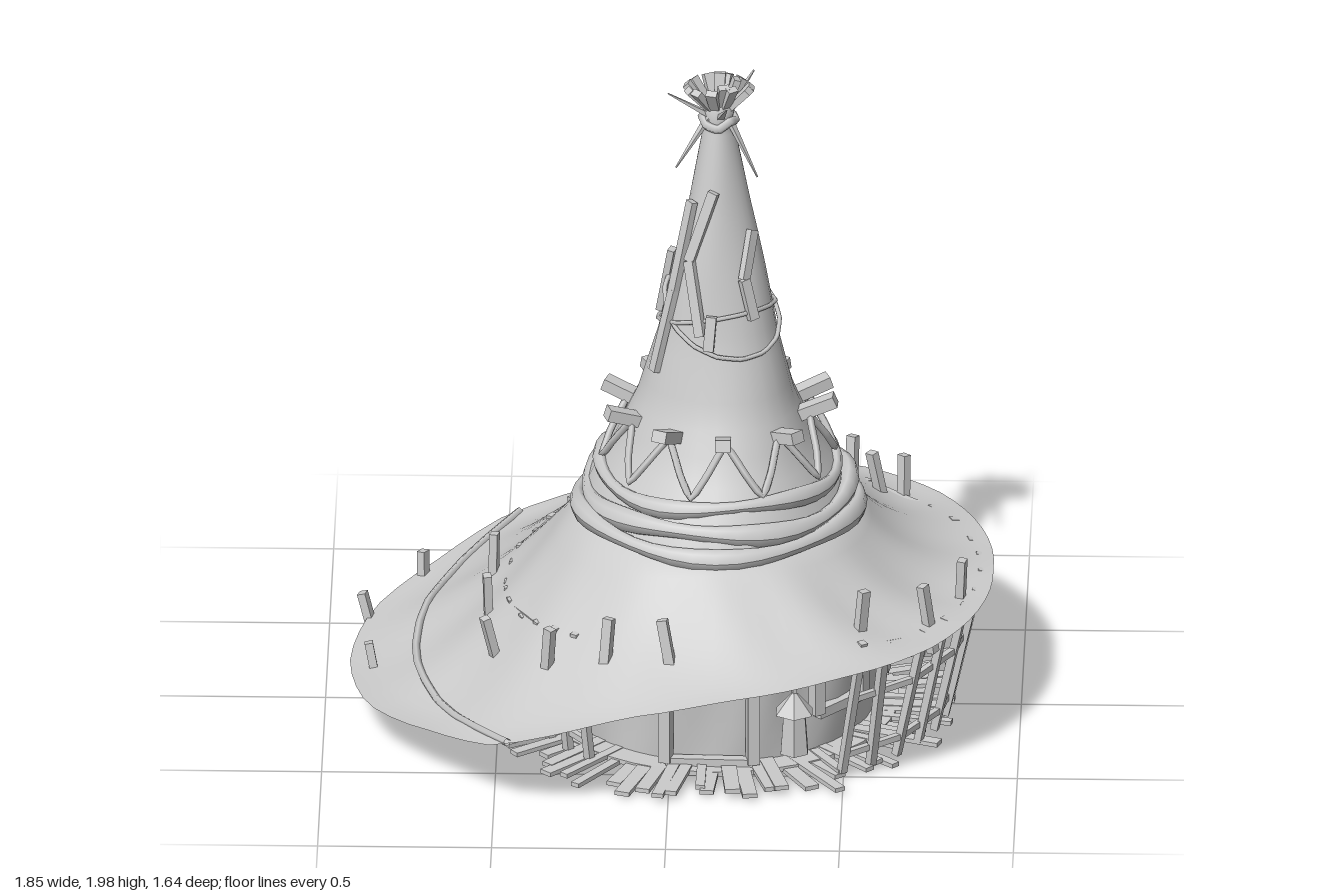
import * as THREE from 'three';

const mat = new THREE.MeshStandardMaterial({ color: 0xcccccc, side: THREE.DoubleSide });
const flat = new THREE.MeshStandardMaterial({ color: 0xcccccc, flatShading: true });
const CX = 0.13; // axis of the cone and hut
const DEG = Math.PI / 180;
const V = (x, y, z) => new THREE.Vector3(x, y, z);
// Point around the hut axis
const P = (r, a, y) => V(CX + r * Math.cos(a), y, r * Math.sin(a));

let seed = 7;
const rnd = (lo, hi) => {
  seed = (seed * 16807) % 2147483647;
  return lo + (hi - lo) * seed / 2147483647;
};
function table(pairs, v) {
  if (v <= pairs[0][0]) return pairs[0][1];
  for (let i = 1; i < pairs.length; i++) {
    const [a, b] = [pairs[i - 1], pairs[i]];
    if (v <= b[0]) return a[1] + (b[1] - a[1]) * (v - a[0]) / (b[0] - a[0]);
  }
  return pairs[pairs.length - 1][1];
}

// Brim outline by angle, and rim height by x
const RIM = [[0, .79], [18, .8], [40, .815], [59, .81], [86, .8], [106, .84], [129, 1], [144, 1], [162, 1.05], [180, 1.06]];
const RIM_Y = [[-.93, .12], [-.7, .17], [-.5, .22], [-.2, .31], [.1, .37], [.5, .42], [.92, .43]];
const rimR = a => table(RIM, Math.abs(Math.atan2(Math.sin(a), Math.cos(a))) / DEG);
function brimY(r, a) {
  const R = rimR(a), t = Math.min(1, Math.max(0, (r - .4) / (R - .4)));
  const y = table(RIM_Y, CX + R * Math.cos(a));
  const c = Math.cos(a), p = 1.3 + (c > 0 ? 1.2 : .5) * c * c;
  const dent = .014 * Math.sin(a * 9 + 3 * t) * Math.sin(t * Math.PI) * Math.sin(a * 4 + 1);
  return y + (.64 - y) * Math.pow(1 - t, p) + dent;
}

// Closed rings of vertices joined into a smooth skin
function skin(fn, nu, nv) {
  const pos = [], idx = [];
  for (let j = 0; j <= nv; j++) {
    for (let i = 0; i < nu; i++) {
      pos.push(...fn(i / nu * Math.PI * 2, j / nv).toArray());
      if (j < nv) {
        const a = j * nu + i, b = j * nu + (i + 1) % nu;
        idx.push(a, a + nu, b, b, a + nu, b + nu);
      }
    }
  }
  const g = new THREE.BufferGeometry();
  g.setAttribute('position', new THREE.Float32BufferAttribute(pos, 3));
  g.setIndex(idx);
  g.computeVertexNormals();
  return g;
}
function add(parent, name, geo, m = mat) {
  const mesh = new THREE.Mesh(geo, m);
  mesh.name = name;
  parent.add(mesh);
  return mesh;
}
function stick(parent, name, a, b, w, d = w, taper = 1) {
  const g = new THREE.BoxGeometry(w, a.distanceTo(b), d), p = g.attributes.position;
  for (let i = 0; i < p.count; i++) {
    if (p.getY(i) > 0) p.setXYZ(i, p.getX(i) * taper, p.getY(i), p.getZ(i) * taper);
  }
  const m = add(parent, name, g, flat), dir = b.clone().sub(a).normalize();
  // Keep the width of the stick tangent to the hut
  const mid = a.clone().add(b).multiplyScalar(.5);
  let out = V(mid.x - CX, 0, mid.z);
  if (Math.abs(dir.y) < .7 && Math.abs(dir.dot(out.clone().normalize())) > .7) out = V(0, 1, 0);
  const x = dir.clone().cross(out).normalize();
  m.quaternion.setFromRotationMatrix(new THREE.Matrix4().makeBasis(x, dir, x.clone().cross(dir)));
  m.position.copy(mid);
}
function rope(parent, name, pts, r, closed = false) {
  add(parent, name, new THREE.TubeGeometry(new THREE.CatmullRomCurve3(pts, closed, 'catmullrom', .2), pts.length * 4, r, 5, closed));
}
function group(root, name) {
  const g = new THREE.Group();
  g.name = name;
  root.add(g);
  return g;
}

export function createModel() {
  const root = new THREE.Group();

  // Drooping brim
  add(root, 'brim', skin((a, t) => {
    const r = .38 + (rimR(a) - .38) * t;
    return P(r, a, brimY(r, a));
  }, 72, 14));
  const fold = [];
  for (let i = 0; i <= 12; i++) {
    const z = -.78 + 1.56 * i / 12, x = -.74 + .28 * (z / .78) ** 2;
    const r = Math.hypot(x - CX, z), a = Math.atan2(z, x - CX);
    fold.push(V(x, brimY(r, a) + .002, z));
  }
  rope(root, 'brimFold', fold, .012);

  // Tall pointed roof
  const CONE = [[.6, .41], [.65, .4], [.75, .35], [.85, .29], [1, .225], [1.2, .17], [1.4, .13], [1.6, .088], [1.8, .05], [1.86, .038], [1.9, .05], [1.93, .02]];
  const coneR = y => table(CONE, y);
  add(root, 'cone', skin((a, t) => {
    const y = .6 + 1.33 * t;
    return P(coneR(y) * (1 + .035 * Math.sin(3 * a + y * 5)), a, y);
  }, 28, 36));

  // Rumpled cloth bands at the foot of the cone
  const bands = group(root, 'clothBands');
  [[.65, .405, .03], [.7, .375, .032], [.765, .34, .026]].forEach(([y, r, w], k) => {
    add(bands, 'clothBand', skin((a, t) => {
      const q = t * Math.PI * 2, s = w * (1 + .25 * Math.sin(5 * a + k * 2));
      return P(r + s * .75 * Math.cos(q), a, y + .012 * Math.sin(3 * a + k * 2.1) + s * Math.sin(q));
    }, 40, 8));
  });

  // Pegs around the cone with a rope slung between them
  const garland = group(root, 'garland'), sling = [], N = 10;
  for (let i = 0; i < N; i++) {
    const a = (i + .35) / N * Math.PI * 2, h = Math.PI / N;
    stick(garland, 'conePeg', P(.19, a, .92), P(.34, a + rnd(-.08, .08), rnd(.95, .99)), .045, .035);
    sling.push(P(.27, a, .94), P(.31, a + h * .6, .86), P(.335, a + h, .8), P(.31, a + h * 1.4, .86));
  }
  rope(garland, 'slungRope', sling, .011, true);

  // Slanting rope tied around the cone
  for (const s of [0, 1]) {
    const loop = [];
    for (let i = 0; i < 16; i++) {
      const a = i / 16 * Math.PI * 2, y = s ? 1.27 - .1 * Math.sin(a + .5) : 1.25 + .05 * Math.sin(a + .6);
      loop.push(P(coneR(y) * 1.03 + .004, a, y));
    }
    rope(root, 'coneRope', loop, .007, true);
  }

  // Bent slats nailed to the cone
  const slats = group(root, 'slats');
  [[[150, 1.1], [146, 1.35], [140, 1.62]],
    [[106, 1.24], [128, 1.45], [98, 1.66]],
    [[52, 1.28], [58, 1.4], [32, 1.53]],
    [[98, 1.2], [96, 1.3]],
    [[200, 1.22], [196, 1.42]]].forEach(path => {
    const pts = path.map(([d, y]) => P(coneR(y) + .014, d * DEG, y));
    for (let i = 1; i < pts.length; i++) stick(slats, 'slat', pts[i - 1], pts[i], .03, .02);
  });

  // Straw tuft and binding at the tip
  const tuft = group(root, 'tuft');
  for (let i = 0; i < 14; i++) {
    const a = i * 2.4, r = rnd(.03, .1);
    stick(tuft, 'straw', P(.015, a, 1.87), P(r, a, 2 - r * .45), .025, .016, 1.3);
  }
  [[165, .15, 1.95], [320, .13, 1.97], [150, .14, 1.73], [30, .13, 1.7], [270, .13, 1.71], [80, .15, 1.95]].forEach(([d, r, y]) =>
    stick(tuft, 'longStraw', P(.03, d * DEG, 1.87), P(r, d * DEG, y), .022, .014, .2));
  const knot = [];
  for (let i = 0; i < 8; i++) knot.push(P(.047, i * Math.PI / 4, 1.85 + .012 * Math.sin(i * 2)));
  rope(tuft, 'binding', knot, .014, true);

  // Round hut wall, slightly rumpled
  add(root, 'wall', skin((a, t) => P(.45 + .03 * t + .012 * Math.sin(11 * a) * Math.sin(t * 3), a, .02 + .45 * t), 60, 6));

  // Window frames and doorway
  const openings = group(root, 'openings');
  const frame = (d, half, y0, y1, name) => {
    const a0 = (d - half) * DEG, a1 = (d + half) * DEG, r = .485;
    [a0, a1].forEach(a => stick(openings, name, P(r, a, y0), P(r, a, y1), .035));
    [y0, y1].forEach(y => stick(openings, name, P(r, a0, y), P(r, a1, y), .03));
  };
  [42, 0, -42, -90, -138, 180].forEach(d => frame(d, 11, .15, .34, 'windowFrame'));
  frame(92, 15, .03, .38, 'doorFrame');

  // Lantern hanging beside the door
  const lantern = group(root, 'lantern');
  const body = add(lantern, 'lanternBody', new THREE.CylinderGeometry(.035, .045, .13, 6), flat);
  body.position.set(.36, .17, .55);
  const cap = add(lantern, 'lanternCap', new THREE.ConeGeometry(.06, .07, 6), flat);
  cap.position.set(.36, .265, .55);
  stick(lantern, 'lanternHook', V(.36, .29, .55), V(.36, .45, .55), .012);

  // Fence of leaning posts with rails, open at the front
  const fence = group(root, 'fence');
  const bulge = a => Math.max(0, Math.cos(a));
  const post = (a, y) => P(.56 + .1 * bulge(a) + (.05 + .04 * bulge(a)) * y / .4, a, y);
  const COUNT = 32, rails = [[], [], []];
  for (let i = 0; i <= COUNT; i++) {
    const a = (54 - 284 * i / COUNT) * DEG, top = post(a, .4);
    const y = brimY(Math.hypot(top.x - CX, top.z), a);
    stick(fence, 'post', post(a, .02), post(a + rnd(-.03, .03), y), rnd(.018, .03), .022);
    [.08 + rnd(-.01, .01), .27 + rnd(-.01, .01), y - .015].forEach((h, k) => rails[k].push(post(a, h)));
  }
  rails.forEach(pts => {
    for (let i = 2; i < pts.length; i += 2) stick(fence, 'rail', pts[i - 2], pts[i], .018, .018);
  });

  // Floor with ragged boards fanning out from beneath
  const floor = add(root, 'floor', new THREE.CylinderGeometry(.52, .52, .014, 40));
  floor.position.set(CX, .015, 0);
  const boards = group(root, 'floorBoards');
  for (let i = 0; i < 76; i++) {
    const a = i / 76 * Math.PI * 2, y = rnd(.008, .022);
    stick(boards, 'board', P(rnd(.4, .46), a, y), P(rnd(.61, .72), a + rnd(-.04, .04), y + rnd(-.001, .006)), rnd(.025, .045), .013);
  }

  // Pegs poking through the brim
  const pegs = group(root, 'brimPegs');
  [[-.88, -.28], [-.73, -.5], [-.86, .05], [-.52, -.16], [-.53, .1], [-.51, .32], [-.35, .52], [-.18, .59], [0, .63],
    [.55, .49], [.74, .38], [.83, .18], [.5, -.56], [.58, -.48], [.65, -.5], [.28, -.62], [.08, -.63], [0, -.55]].forEach(([x, z]) => {
    const y = brimY(Math.hypot(x - CX, z), Math.atan2(z, x - CX)), up = x < -.7 ? .07 : .12;
    const lx = rnd(-.025, .01), lz = rnd(-.015, .015);
    stick(pegs, 'brimPeg', V(x - lx, y - .09, z - lz), V(x + lx, y + up, z + lz), .03, .024);
  });
  return root;
}
